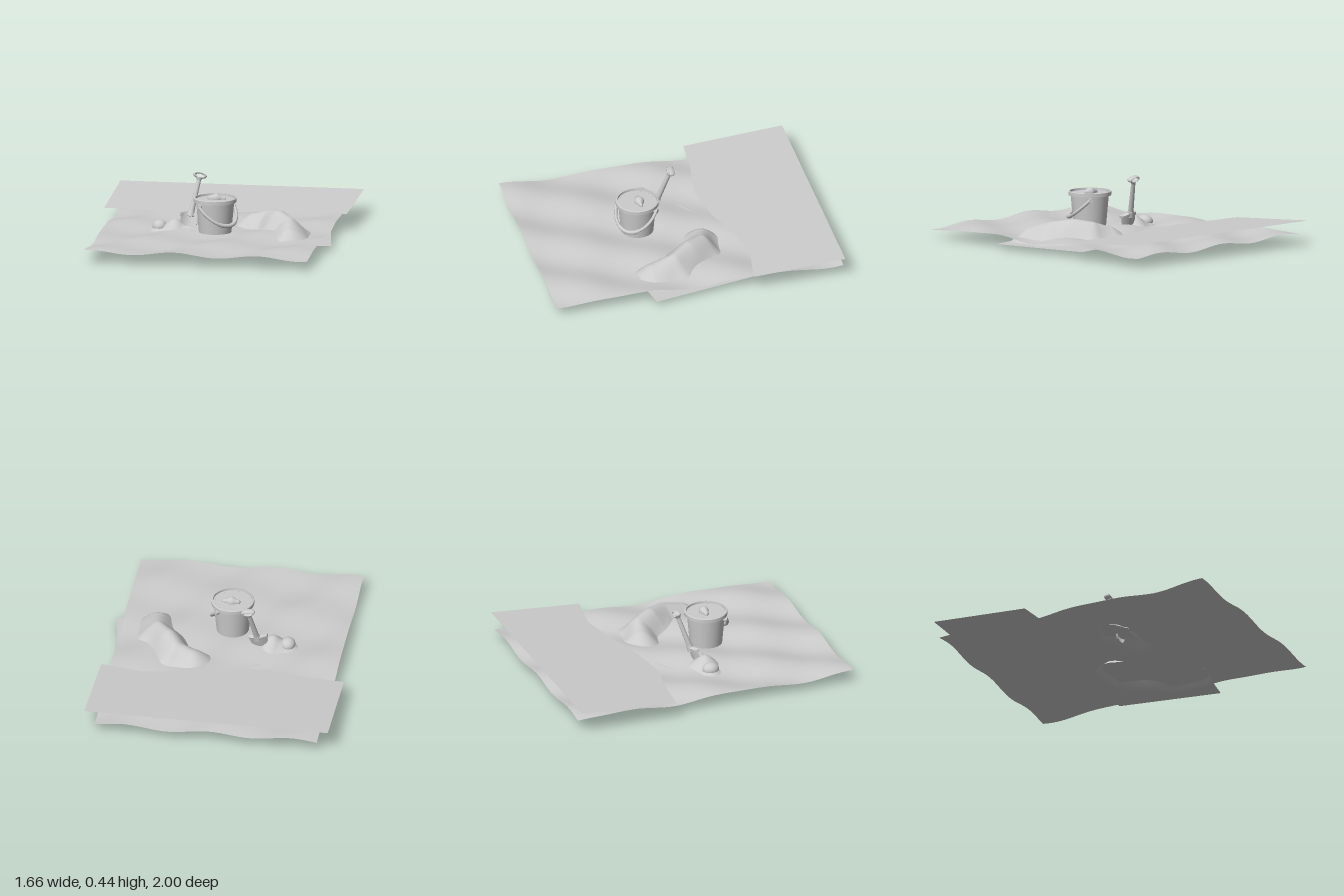
import * as THREE from 'three';

const grey = new THREE.MeshStandardMaterial({ color: 0xcccccc, side: THREE.DoubleSide });
const V = (x, y, z) => new THREE.Vector3(x, y, z);

function add(parent, name, geometry, x = 0, y = 0, z = 0) {
  const mesh = new THREE.Mesh(geometry, grey);
  mesh.name = name;
  mesh.position.set(x, y, z);
  parent.add(mesh);
  return mesh;
}

// Move every vertex of a geometry by a rule
function warp(geometry, rule) {
  const p = geometry.attributes.position;
  const v = new THREE.Vector3();
  for (let i = 0; i < p.count; i++) {
    v.fromBufferAttribute(p, i);
    rule(v);
    p.setXYZ(i, v.x, v.y, v.z);
  }
  geometry.computeVertexNormals();
  return geometry;
}

// Height added by a ridge through points (x, height, z), fading out over a width
function ridgeHeight(ridge, width, x, z) {
  let best = 0;
  for (let i = 0; i < ridge.length - 1; i++) {
    const a = ridge[i], b = ridge[i + 1];
    const dx = b.x - a.x, dz = b.z - a.z;
    const t = THREE.MathUtils.clamp(((x - a.x) * dx + (z - a.z) * dz) / (dx * dx + dz * dz), 0, 1);
    const d = Math.hypot(x - a.x - t * dx, z - a.z - t * dz);
    const fade = 1 - THREE.MathUtils.smoothstep(d, 0, width);
    best = Math.max(best, fade * (a.y + t * (b.y - a.y)));
  }
  return best;
}

// Square sheet through an origin corner and two edge vectors, raised along a ridge
function moundSheet(origin, edgeU, edgeV, ridge, width) {
  return warp(new THREE.PlaneGeometry(1, 1, 44, 44).rotateX(-Math.PI / 2), (v) => {
    const s = v.x + 0.5, t = v.z + 0.5;
    v.copy(origin).addScaledVector(edgeU, s).addScaledVector(edgeV, t);
    const wobble = 1 + 0.08 * Math.sin(21 * v.x + 9 * v.z) + 0.06 * Math.sin(26 * v.z - 8 * v.x);
    v.y += ridgeHeight(ridge, width * wobble, v.x, v.z);
  });
}

function makeGround(group) {
  // Rippled beach
  add(group, 'sand', warp(new THREE.PlaneGeometry(1.52, 2, 48, 60).rotateX(-Math.PI / 2), (v) => {
    v.y = 0.076 + 0.014 * Math.cos(11 * (v.x + 0.72) + 7 * (v.z - 1))
      + 0.005 * Math.sin(13 * v.z - 3 * v.x);
  }));

  // Sloping water with a wavy shoreline
  const shore = [[0.815, 0.36], [0.52, 0.41], [0.26, 0.36], [0, 0.28], [-0.29, 0.24], [-0.58, 0.29], [-0.835, 0.31]];
  const outline = new THREE.Shape([[-0.835, 1], [0.83, 0.995], ...shore].map(([x, y]) => new THREE.Vector2(x, y)));
  add(group, 'water', warp(new THREE.ShapeGeometry(outline).rotateX(-Math.PI / 2), (v) => {
    v.y = 0.11 + (-v.z - 0.25) * 0.07 - 0.002 * v.x;
  }));

  // Sand piles rising through the beach
  add(group, 'largeMound', moundSheet(V(0.04, 0.04, -0.27), V(0.66, 0, -0.12), V(0.12, -0.005, 0.71),
    [V(0.23, 0.11, -0.15), V(0.34, 0.145, -0.12), V(0.41, 0.162, -0.01), V(0.5, 0.142, 0.11), V(0.525, 0.1, 0.26)], 0.185));
  add(group, 'smallMound', moundSheet(V(-0.54, 0.045, 0.09), V(0.42, 0.025, -0.28), V(0.25, -0.045, 0.32),
    [V(-0.37, 0.06, 0.12), V(-0.28, 0.11, 0.12), V(-0.21, 0.07, 0.13), V(-0.14, 0.065, 0.15)], 0.15));
  const dome = new THREE.SphereGeometry(0.05, 24, 10, 0, Math.PI * 2, 0, Math.PI * 0.55);
  add(group, 'sandLump', dome, -0.385, 0.09, 0.115).scale.set(1, 0.9, 1.15);
}

function makeBucket() {
  const bucket = new THREE.Group();
  bucket.name = 'bucket';
  bucket.position.set(0.013, 0, 0.24);

  // Tapered body, with flat faces at rim and base kept crisp by doubled points
  const body = [[0, 0.09], [0.11, 0.09], [0.11, 0.09], [0.129, 0.298], [0.129, 0.298], [0.145, 0.298], [0.145, 0.298],
    [0.145, 0.322], [0.145, 0.322], [0.142, 0.326], [0.134, 0.326], [0.134, 0.326], [0.132, 0.305]];
  add(bucket, 'bucketBody', new THREE.LatheGeometry(body.map(([x, y]) => new THREE.Vector2(x, y)), 48));

  // Sand filling with one joined, uneven lump
  add(bucket, 'sandFill', new THREE.CylinderGeometry(0.133, 0.131, 0.02, 48), 0, 0.302, 0);
  const lump = warp(new THREE.SphereGeometry(1, 32, 20), (v) => {
    const waist = 0.027 - 0.006 * v.x + 0.006 * Math.cos(5 * v.x);
    v.set(0.01 + 0.064 * v.x, v.y * (waist + 0.002), v.z * waist - 0.012);
  });
  add(bucket, 'fillLump', lump, 0, 0.317, 0);
  for (let i = 0; i < 14; i++) {
    const a = (i / 14) * Math.PI * 2;
    add(bucket, 'rimStud', new THREE.SphereGeometry(0.003, 8, 6), 0.122 * Math.cos(a), 0.312, 0.122 * Math.sin(a));
  }

  // Carrying handle swung down against the side
  const handle = new THREE.Group();
  handle.name = 'bucketHandle';
  handle.rotation.y = 0.85;
  bucket.add(handle);
  const arc = (from, to, n) => new THREE.CatmullRomCurve3(Array.from({ length: n + 1 }, (_, i) => {
    const a = from + (to - from) * (i / n);
    return V(0.145 * Math.cos(a), 0.283 - 0.132 * Math.sin(a), 0.143 * Math.sin(a));
  }));
  add(handle, 'handleStrap', new THREE.TubeGeometry(arc(0, Math.PI, 16), 48, 0.011, 8));
  add(handle, 'handleGrip', new THREE.TubeGeometry(arc(1.05, Math.PI - 1.05, 8), 24, 0.014, 10));
  for (const side of [-1, 1]) {
    add(handle, 'handlePivot', new THREE.CylinderGeometry(0.015, 0.015, 0.028, 16).rotateZ(Math.PI / 2), side * 0.14, 0.28, 0);
  }
  return bucket;
}

function makeShovel() {
  const shovel = new THREE.Group();
  shovel.name = 'shovel';
  const base = V(-0.185, 0.16, 0.05);
  const axis = V(-0.138, 0.4, -0.027).sub(base);
  const length = axis.length();
  shovel.position.copy(base);
  shovel.quaternion.setFromUnitVectors(V(0, 1, 0), axis.normalize());

  add(shovel, 'shaft', new THREE.CylinderGeometry(0.014, 0.019, length, 16), 0, length / 2, 0);
  add(shovel, 'socket', new THREE.CylinderGeometry(0.02, 0.026, 0.04, 16), 0, 0.01, 0);

  // Wide, thick oval grip ring on a flared neck
  const ring = new THREE.TorusGeometry(0.035, 0.01, 10, 32).scale(1.06, 0.47, 1.8);
  add(shovel, 'gripRing', ring, 0, length + 0.019, 0);
  add(shovel, 'gripNeck', new THREE.CylinderGeometry(0.022, 0.014, 0.02, 16), 0, length - 0.006, 0);

  // Scooped blade, curved across its width
  const blade = warp(new THREE.BoxGeometry(0.12, 0.13, 0.012, 16, 12, 1), (v) => {
    const down = (0.065 - v.y) / 0.13;
    v.x *= Math.sqrt(1 - 0.75 * down ** 3);
    v.y -= 0.006 * (v.x / 0.06) ** 2 * (1 - down);
    v.z += 7 * v.x * v.x;
  });
  add(shovel, 'blade', blade, 0, -0.055, -0.006);
  const shoulder = warp(new THREE.BoxGeometry(0.128, 0.02, 0.026, 16, 1, 1), (v) => {
    v.y -= 5 * v.x * v.x;
    v.z += 7 * v.x * v.x;
  });
  add(shovel, 'bladeShoulder', shoulder, 0, 0.01, -0.004);
  return shovel;
}

export function createModel() {
  const group = new THREE.Group();
  group.name = 'beachScene';
  makeGround(group);
  group.add(makeBucket(), makeShovel());
  return group;
}
